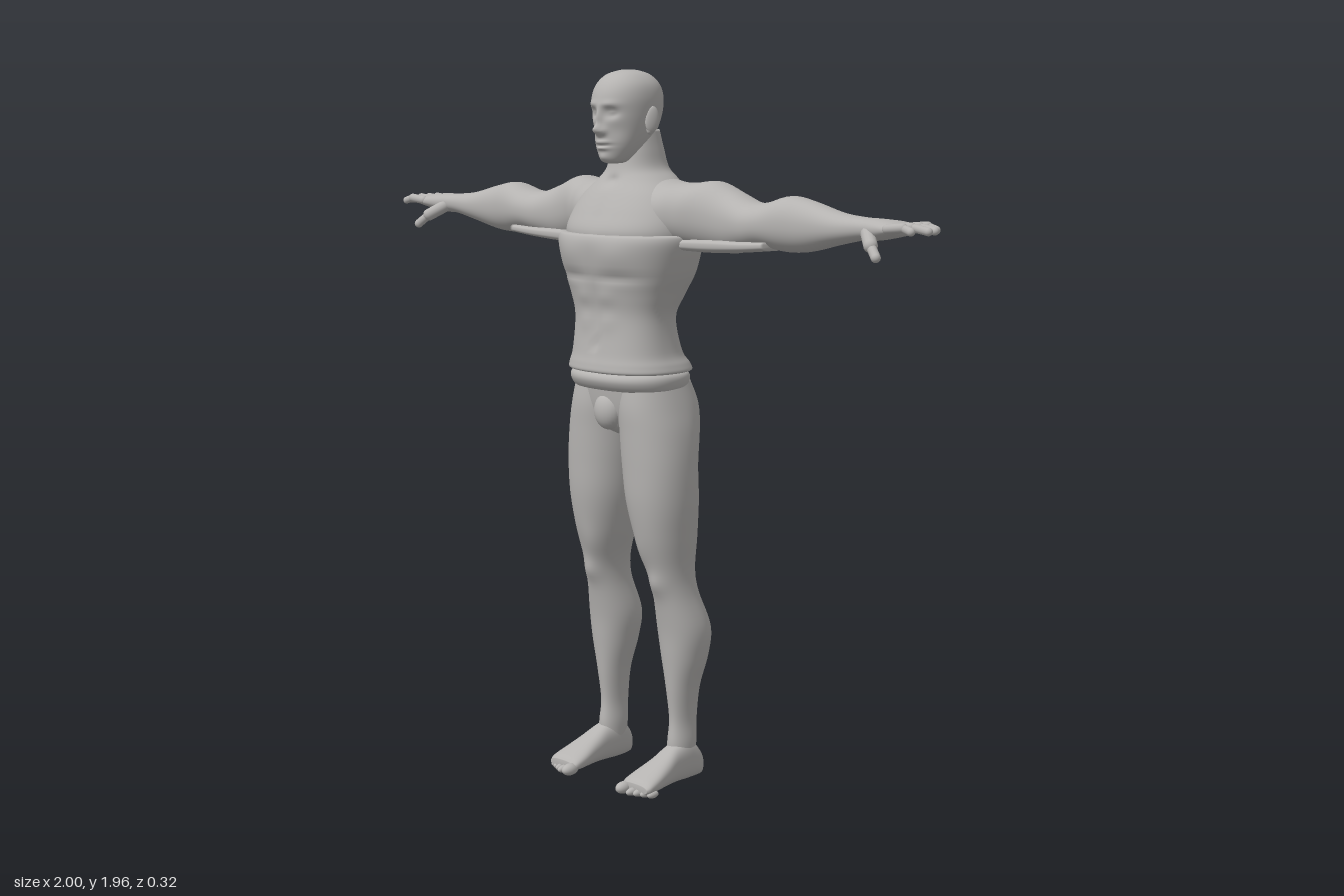
import * as THREE from 'three';

const skin = new THREE.MeshStandardMaterial({ color: 0xb5b3b1 });
skin.name = 'grey clay';

function add(group, name, geometry) {
  const mesh = new THREE.Mesh(geometry, skin);
  mesh.name = name;
  group.add(mesh);
  return mesh;
}

// Smooth blend through cross-section rows
function refine(rows, steps) {
  const out = [];
  for (let i = 0; i < rows.length - 1; i++) {
    const p = rows[Math.max(i - 1, 0)], q = rows[i], r = rows[i + 1], s = rows[Math.min(i + 2, rows.length - 1)];
    for (let k = 0; k < steps; k++) {
      const t = k / steps;
      out.push(q.map((b, j) => {
        const c1 = r[j] - p[j];
        const c2 = 2 * p[j] - 5 * b + 4 * r[j] - s[j];
        const c3 = 3 * (b - r[j]) + s[j] - p[j];
        return b + 0.5 * t * (c1 + t * (c2 + t * c3));
      }));
    }
  }
  out.push(rows[rows.length - 1]);
  return out;
}

// Closed skin over rows [t, aMin, aMax, bMin, bMax]; t rises along the chosen axis.
// Axis x: a = z, b = y. Axis y: a = x, b = z. Axis z: a = x, b = y.
function loft(axis, rows, { power = 2.2, sides = 56, steps = 6, mirror = 1, warp } = {}) {
  const rings = refine(rows, steps), pos = [], index = [], v = new THREE.Vector3();
  const push = (t, a, b) => {
    if (axis === 'x') v.set(t, b, a);
    else if (axis === 'y') v.set(a, t, b);
    else v.set(a, b, t);
    if (warp) warp(v);
    pos.push(v.x * mirror, v.y, v.z);
  };
  const bend = c => Math.sign(c) * Math.abs(c) ** (2 / power);
  for (const [t, a0, a1, b0, b1] of rings) {
    for (let i = 0; i < sides; i++) {
      const w = i / sides * Math.PI * 2;
      push(t, (a0 + a1) / 2 + (a1 - a0) / 2 * bend(Math.cos(w)), (b0 + b1) / 2 + (b1 - b0) / 2 * bend(Math.sin(w)));
    }
  }
  const last = (rings.length - 1) * sides, tip = rings.length * sides;
  for (const r of [rings[0], rings[rings.length - 1]]) push(r[0], (r[1] + r[2]) / 2, (r[3] + r[4]) / 2);
  for (let i = 0; i < sides; i++) {
    const j = (i + 1) % sides;
    for (let k = 0; k < last; k += sides) index.push(k + i, k + j, k + sides + i, k + j, k + sides + j, k + sides + i);
    index.push(tip, j, i, tip + 1, last + i, last + j);
  }
  // Rings on axes x and y turn the other way; mirroring turns them again
  const flip = (axis === 'z' ? 1 : -1) * mirror < 0;
  if (flip) for (let i = 0; i < index.length; i += 3) [index[i], index[i + 1]] = [index[i + 1], index[i]];
  const g = new THREE.BufferGeometry();
  g.setAttribute('position', new THREE.Float32BufferAttribute(pos, 3));
  g.setIndex(index);
  g.computeVertexNormals();
  return g;
}

// Push the front or back in or out with soft bumps [x, y, widthX, widthY, depth]
function sculpt(front, back = [], z0 = 0) {
  return v => {
    const list = v.z > z0 ? front : back, side = v.z > z0 ? 1 : -1;
    const weight = Math.min(1, Math.abs(v.z - z0) / 0.05), x = Math.abs(v.x);
    let d = 0;
    for (const [cx, cy, sx, sy, depth] of list) {
      const dx = (x - cx) / sx, dy = (v.y - cy) / sy;
      d += depth * Math.exp(-dx * dx - dy * dy);
    }
    v.z += d * side * weight;
  };
}

function capsule(group, name, from, to, radius) {
  const a = new THREE.Vector3(...from), b = new THREE.Vector3(...to), d = b.clone().sub(a);
  const m = add(group, name, new THREE.CapsuleGeometry(radius, d.length(), 6, 14));
  m.position.copy(a).add(b).multiplyScalar(0.5);
  m.quaternion.setFromUnitVectors(new THREE.Vector3(0, 1, 0), d.normalize());
}

function ball(group, name, position, size) {
  const m = add(group, name, new THREE.SphereGeometry(1, 24, 16));
  m.position.set(...position);
  m.scale.set(...size);
  return m;
}

// Rows symmetrical in x: [y, halfWidth, zMin, zMax]
const even = rows => rows.map(([y, x, z0, z1]) => [y, -x, x, z0, z1]);

function buildHead(group) {
  const head = new THREE.Group();
  head.name = 'head';
  group.add(head);
  // Eye sockets, eyes, brow, nose, lips, cheeks and chin
  const face = sculpt([
    [0.033, 1.845, 0.018, 0.013, -0.014], [0.033, 1.846, 0.011, 0.006, 0.006],
    [0.03, 1.868, 0.026, 0.009, 0.005], [0, 1.83, 0.009, 0.03, 0.012],
    [0, 1.8, 0.013, 0.013, 0.022], [0.014, 1.796, 0.008, 0.008, 0.007],
    [0, 1.768, 0.022, 0.005, 0.009], [0, 1.752, 0.02, 0.005, 0.008], [0, 1.76, 0.026, 0.003, -0.005],
    [0.045, 1.8, 0.02, 0.025, -0.005], [0, 1.727, 0.02, 0.012, 0.006],
  ], [], 0.03);
  add(head, 'skull and face', loft('y', even([
    [1.712, 0.02, 0.03, 0.085], [1.72, 0.037, 0.01, 0.098], [1.75, 0.056, -0.03, 0.108],
    [1.79, 0.07, -0.065, 0.114], [1.84, 0.08, -0.086, 0.118], [1.885, 0.083, -0.09, 0.117],
    [1.92, 0.075, -0.078, 0.102], [1.945, 0.053, -0.052, 0.075], [1.957, 0.024, -0.016, 0.038], [1.959, 0.003, 0.008, 0.014],
  ]), { sides: 112, steps: 10, power: 2.15, warp: face }));
  for (const s of [1, -1]) {
    const ear = ball(head, 'ear', [s * 0.083, 1.828, 0.004], [0.008, 0.035, 0.02]);
    ear.rotation.set(-0.15, s * -0.3, 0);
    ball(head, 'ear lobe', [s * 0.079, 1.8, 0.008], [0.007, 0.012, 0.01]);
  }
}

function buildTorso(group) {
  // Neck, trapezius and upper chest
  add(group, 'upper chest and neck', loft('y', even([
    [1.48, 0.185, -0.145, 0.135], [1.53, 0.195, -0.153, 0.148], [1.58, 0.185, -0.152, 0.128], [1.63, 0.155, -0.143, 0.1],
    [1.67, 0.108, -0.127, 0.073], [1.7, 0.078, -0.11, 0.06], [1.75, 0.067, -0.095, 0.05], [1.8, 0.06, -0.08, 0.04],
  ]), { warp: sculpt([[0, 1.56, 0.012, 0.06, -0.005], [0, 1.665, 0.02, 0.014, -0.01]], [[0, 1.56, 0.02, 0.09, -0.014]]) }));
  // Ribcage and belly, ending in a lip under the chest and a flared hem
  add(group, 'ribcage and belly', loft('y', even([
    [1.152, 0.155, -0.12, 0.125], [1.156, 0.175, -0.14, 0.146], [1.175, 0.171, -0.133, 0.146], [1.21, 0.158, -0.108, 0.139],
    [1.3, 0.151, -0.085, 0.13], [1.36, 0.168, -0.11, 0.138], [1.42, 0.192, -0.138, 0.151], [1.49, 0.211, -0.152, 0.161],
    [1.52, 0.212, -0.156, 0.157], [1.526, 0.2, -0.148, 0.145],
  ]), { sides: 80, power: 2.35, warp: sculpt([
    [0, 1.32, 0.009, 0.14, -0.005], [0.085, 1.47, 0.06, 0.04, 0.006], [0.08, 1.412, 0.08, 0.012, -0.007],
    [0.04, 1.36, 0.03, 0.022, 0.004], [0.04, 1.29, 0.03, 0.022, 0.004], [0, 1.23, 0.01, 0.012, -0.008],
  ], [[0, 1.34, 0.022, 0.16, -0.018], [0.05, 1.24, 0.03, 0.07, 0.006], [0.1, 1.44, 0.05, 0.05, 0.006]]) }));
  // Rolled waistband
  add(group, 'waistband', loft('y', even([
    [1.103, 0.15, -0.1, 0.1], [1.108, 0.166, -0.121, 0.125], [1.13, 0.173, -0.131, 0.14],
    [1.148, 0.169, -0.128, 0.136], [1.16, 0.15, -0.11, 0.115],
  ]), { power: 2.35, warp: sculpt([], [[0, 1.13, 0.012, 0.05, -0.012]]) }));
  add(group, 'pelvis', loft('y', even([
    [0.975, 0.03, -0.05, 0.04], [1.0, 0.09, -0.09, 0.08], [1.05, 0.15, -0.105, 0.1], [1.12, 0.16, -0.11, 0.11],
  ])));
  ball(group, 'groin', [0, 1.045, 0.085], [0.045, 0.052, 0.036]);
}

function buildArm(group, s) {
  const arm = new THREE.Group();
  arm.name = s > 0 ? 'left arm' : 'right arm';
  group.add(arm);
  // Shoulder, biceps, forearm and palm in one skin
  add(arm, 'arm and palm', loft('x', [
    [0.06, -0.14, 0.05, 1.51, 1.68], [0.14, -0.152, 0.068, 1.495, 1.664], [0.2, -0.154, 0.045, 1.49, 1.663],
    [0.26, -0.15, 0.018, 1.484, 1.668], [0.33, -0.143, 0.006, 1.482, 1.643], [0.4, -0.136, 0.012, 1.495, 1.62],
    [0.46, -0.13, 0.016, 1.504, 1.622], [0.53, -0.124, 0.011, 1.497, 1.64], [0.6, -0.113, 0.002, 1.502, 1.63],
    [0.7, -0.098, -0.003, 1.525, 1.606], [0.78, -0.085, -0.01, 1.541, 1.598], [0.83, -0.088, 0, 1.543, 1.597],
    [0.88, -0.1, 0.012, 1.552, 1.594], [0.91, -0.1, 0.011, 1.56, 1.588], [0.918, -0.09, 0, 1.566, 1.582],
  ], { mirror: s }));
  // Raised seam on the underside of the upper arm
  add(arm, 'underarm seam', loft('x', [
    [0.19, -0.135, 0.036, 1.485, 1.52], [0.28, -0.142, 0.012, 1.482, 1.523],
    [0.4, -0.132, 0.012, 1.49, 1.523], [0.49, -0.118, 0.008, 1.499, 1.526],
  ], { mirror: s, power: 3 }));
  const fingers = [[0.003, 0.008, 0.967], [-0.027, -0.03, 0.99], [-0.057, -0.06, 0.986], [-0.087, -0.092, 0.965]];
  for (const [z0, z1, tip] of fingers) {
    const zMid = (z0 + z1) / 2;
    capsule(arm, 'finger', [s * 0.89, 1.576, z0], [s * 0.94, 1.581, zMid], 0.0125);
    capsule(arm, 'fingertip', [s * 0.94, 1.581, zMid], [s * tip, 1.573, z1], 0.0105);
  }
  capsule(arm, 'thumb base', [s * 0.815, 1.56, -0.015], [s * 0.85, 1.535, 0.016], 0.018);
  capsule(arm, 'thumb', [s * 0.85, 1.535, 0.016], [s * 0.88, 1.508, 0.032], 0.0125);
}

function buildLeg(group, s) {
  const leg = new THREE.Group();
  leg.name = s > 0 ? 'left leg' : 'right leg';
  group.add(leg);
  // Ankle, calf, knee, thigh and buttock in one skin
  add(leg, 'leg', loft('y', [
    [0.05, 0.11, 0.166, -0.1, -0.02], [0.11, 0.107, 0.169, -0.11, -0.015], [0.18, 0.11, 0.165, -0.113, -0.021],
    [0.27, 0.1, 0.176, -0.12, -0.012], [0.36, 0.08, 0.197, -0.142, -0.003], [0.44, 0.069, 0.204, -0.148, 0.006],
    [0.54, 0.079, 0.185, -0.113, 0.026], [0.61, 0.073, 0.182, -0.103, 0.045], [0.7, 0.045, 0.193, -0.11, 0.074],
    [0.8, 0.021, 0.204, -0.112, 0.093], [0.9, 0.01, 0.205, -0.11, 0.1], [0.99, 0.003, 0.197, -0.126, 0.104],
    [1.06, 0.001, 0.182, -0.132, 0.106], [1.13, 0.01, 0.163, -0.11, 0.098],
  ], { mirror: s, power: 2.15, warp: sculpt(
    [[0.13, 0.57, 0.03, 0.03, 0.01], [0.09, 0.65, 0.03, 0.05, 0.006]],
    [[0.13, 0.57, 0.025, 0.05, -0.008], [0.095, 1.06, 0.06, 0.06, 0.006], [0.135, 0.42, 0.01, 0.08, -0.006]], -0.03) }));
  add(leg, 'foot', loft('z', [
    [-0.125, 0.13, 0.157, 0.015, 0.045], [-0.117, 0.117, 0.168, 0.008, 0.08], [-0.075, 0.109, 0.172, 0.005, 0.12],
    [-0.02, 0.107, 0.177, 0.006, 0.11], [0.03, 0.102, 0.188, 0.006, 0.085], [0.08, 0.094, 0.197, 0.005, 0.062],
    [0.115, 0.093, 0.2, 0.005, 0.046], [0.13, 0.1, 0.194, 0.01, 0.034],
  ], { mirror: s, power: 2.5 }));
  // Big toe first, then the smaller ones outward
  for (let i = 0; i < 5; i++) {
    const r = i ? 0.0115 - i * 0.0004 : 0.017;
    ball(leg, 'toe', [s * (i ? 0.12 + i * 0.0185 : 0.109), r, 0.134 - i * 0.007], [r, r, 0.028 - i * 0.002]);
  }
}

export function createModel() {
  const model = new THREE.Group();
  model.name = 'standing figure';
  buildHead(model);
  buildTorso(model);
  for (const s of [1, -1]) {
    buildArm(model, s);
    buildLeg(model, s);
  }
  return model;
}
